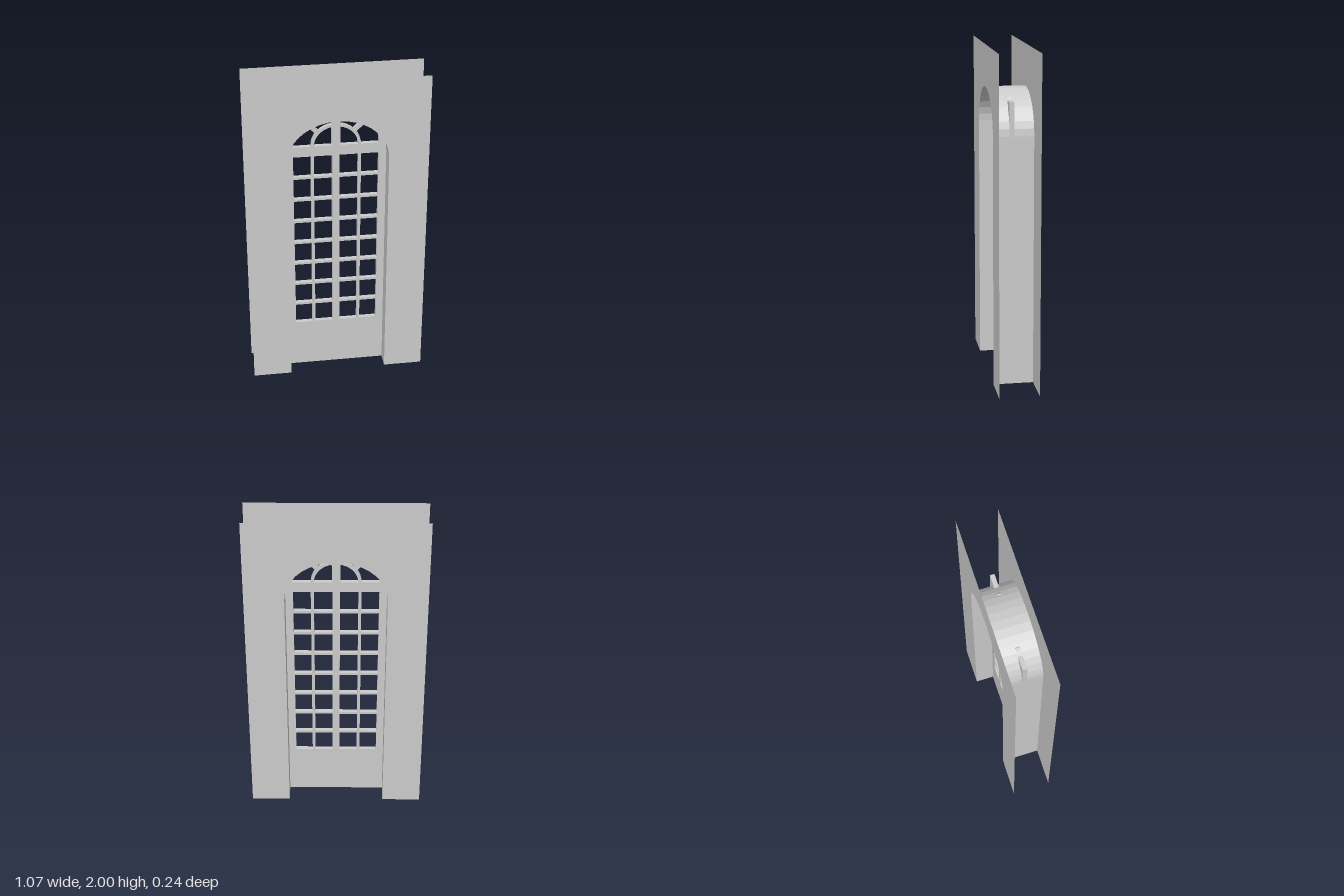
import * as THREE from 'three';

const W = 0.533, OPEN = 0.297, SPRING = 1.5, RISE = 0.25, DEPTH = 0.12;
const Z0 = -0.004, THICK = 0.027, FAN_Y = 1.55, BAR = 0.025;

// Points of the doorway outline, from the right foot over the arch to the left foot
function archPoints(segments = 18) {
  const pts = [new THREE.Vector2(OPEN, 0)];
  for (let i = 0; i <= segments; i++) {
    const a = (Math.PI * i) / segments;
    pts.push(new THREE.Vector2(OPEN * Math.cos(a), SPRING + RISE * Math.sin(a)));
  }
  pts.push(new THREE.Vector2(-OPEN, 0));
  return pts;
}

function rectPath(x0, y0, x1, y1) {
  return new THREE.Path().moveTo(x0, y0).lineTo(x0, y1).lineTo(x1, y1).lineTo(x1, y0).closePath();
}

// Points on an ellipse around the centre of the fanlight
function fanArc(rx, ry, a0, a1, n = 10) {
  return Array.from({ length: n + 1 }, (_, i) => {
    const a = a0 + ((a1 - a0) * i) / n;
    return new THREE.Vector2(rx * Math.cos(a), FAN_Y + ry * Math.sin(a));
  });
}

export function createModel() {
  const model = new THREE.Group();
  model.name = 'archedDoorway';
  const sheetMat = new THREE.MeshStandardMaterial({ color: 0xcccccc, side: THREE.DoubleSide, flatShading: true });
  const mat = new THREE.MeshStandardMaterial({ color: 0xcccccc, flatShading: true });

  const add = (parent, name, geometry, material = mat) => {
    const mesh = new THREE.Mesh(geometry, material);
    mesh.name = name;
    parent.add(mesh);
    return mesh;
  };
  const slab = (shape) =>
    new THREE.ExtrudeGeometry(shape, { depth: THICK, bevelEnabled: false }).translate(0, 0, Z0);

  // Two open wall sheets with the doorway cut up from the floor
  const arch = archPoints();
  const wall = new THREE.Shape([
    new THREE.Vector2(W, 0), new THREE.Vector2(W, 2), new THREE.Vector2(-W, 2), new THREE.Vector2(-W, 0),
    ...arch.slice().reverse(),
  ]);
  add(model, 'frontWall', new THREE.ShapeGeometry(wall), sheetMat).position.z = DEPTH;
  const back = add(model, 'backWall', new THREE.ShapeGeometry(wall), sheetMat);
  back.position.z = -DEPTH;
  back.rotation.y = Math.PI;

  // Reveal: a strip following the arch, joining the two sheets
  const reveal = new THREE.PlaneGeometry(1, 1, arch.length - 1, 1);
  const pos = reveal.attributes.position;
  for (let i = 0; i < pos.count; i++) {
    const p = arch[i % arch.length];
    pos.setXYZ(i, p.x, p.y, i < arch.length ? DEPTH : -DEPTH);
  }
  reveal.computeVertexNormals();
  add(model, 'reveal', reveal, sheetMat);

  // Door leaf with eight rows of four panes
  const door = new THREE.Group();
  door.name = 'door';
  model.add(door);
  const leaf = new THREE.Shape([
    new THREE.Vector2(-OPEN, 0), new THREE.Vector2(OPEN, 0),
    new THREE.Vector2(OPEN, FAN_Y), new THREE.Vector2(-OPEN, FAN_Y),
  ]);
  const pitch = 0.1479, paneH = 0.133;
  for (let row = 0; row < 8; row++) {
    const y = 0.317 + row * pitch;
    for (const x of [-0.252, -0.13, 0.022, 0.148]) {
      const w = x === -0.13 || x === 0.022 ? 0.108 : 0.104;
      leaf.holes.push(rectPath(x, y, x + w, y + paneH));
    }
  }
  add(door, 'doorLeaf', slab(leaf));

  // Fanlight: central bar, inner half ring, diagonal bars and corner blocks
  const bar = new THREE.BoxGeometry(BAR * 2, 0.197, THICK);
  add(door, 'fanCentreBar', bar).position.set(0, FAN_Y + 0.0985, Z0 + THICK / 2);

  const ring = new THREE.Shape([
    ...fanArc(0.147, 0.135, 0, Math.PI, 20),
    ...fanArc(0.129, 0.12, Math.PI, 0, 20),
  ]);
  add(door, 'fanRing', slab(ring));

  for (const side of [1, -1]) {
    const diagonal = add(door, 'fanDiagonalBar', new THREE.BoxGeometry(0.105, 0.024, THICK));
    diagonal.position.set(side * 0.139, 1.667, Z0 + THICK / 2);
    diagonal.rotation.z = side > 0 ? Math.PI / 4 : (Math.PI * 3) / 4;

    // Corner block, curved on the side facing the glass
    const inner = fanArc(0.252, 0.28, 0, 0.56, 6);
    const corner = new THREE.Shape(
      [new THREE.Vector2(OPEN, FAN_Y), new THREE.Vector2(OPEN, 1.7), ...inner.reverse()]
        .map((p) => new THREE.Vector2(p.x * side, p.y))
    );
    add(door, 'fanCornerBlock', slab(corner));
  }
  return model;
}
